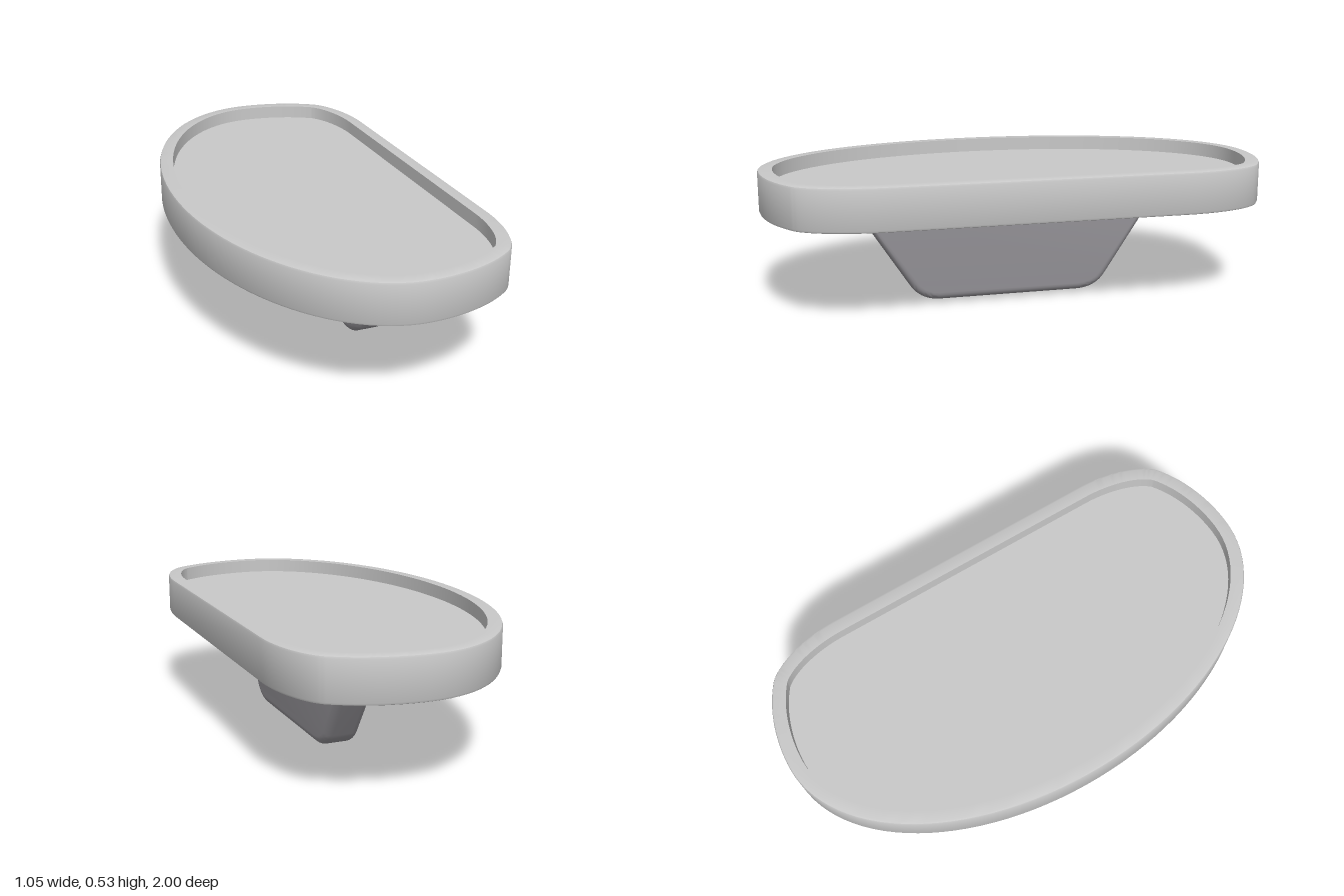
import * as THREE from 'three';
import { toCreasedNormals } from 'three/addons/utils/BufferGeometryUtils.js';

const BOTTOM = 0.365, TOP = 0.53, FLOOR = 0.475, RIM = 0.055;

// Closed D-shaped outline in x and z, clockwise seen from above
function trayOutline() {
  const path = new THREE.Path();
  path.moveTo(-0.527, 0);
  path.bezierCurveTo(-0.527, -0.552, -0.257, -1, 0.08, -1);
  path.bezierCurveTo(0.21, -1, 0.34, -0.96, 0.43, -0.89);
  path.bezierCurveTo(0.49, -0.83, 0.527, -0.7, 0.527, -0.57);
  const half = path.getPoints(28);
  const mirrored = half.slice(1).reverse().map((p) => new THREE.Vector2(p.x, -p.y));
  return half.concat(mirrored);
}

// Moves the outline inward by a distance
function inset(points, d) {
  const n = points.length;
  return points.map((p, i) => {
    const t = points[(i + 1) % n].clone().sub(points[(i + n - 1) % n]).normalize();
    return new THREE.Vector2(p.x - t.y * d, p.y + t.x * d);
  });
}

// Sweeps a closed profile of [inset, height] pairs round the outline
function sweepRing(outline, profile) {
  const n = outline.length, m = profile.length;
  const positions = [], index = [];
  profile.forEach(([d, y]) => inset(outline, d).forEach((p) => positions.push(p.x, y, p.y)));
  for (let j = 0; j < m; j++) {
    for (let i = 0; i < n; i++) {
      const i2 = (i + 1) % n, j2 = (j + 1) % m;
      const a = j * n + i, b = j * n + i2, c = j2 * n + i, d = j2 * n + i2;
      index.push(a, c, b, b, c, d);
    }
  }
  const geometry = new THREE.BufferGeometry();
  geometry.setAttribute('position', new THREE.Float32BufferAttribute(positions, 3));
  geometry.setIndex(index);
  return toCreasedNormals(geometry, 0.6);
}

export function createModel() {
  const model = new THREE.Group();
  const trayGrey = new THREE.MeshStandardMaterial({ name: 'light grey', color: 0xc8c8c8 });
  const supportGrey = new THREE.MeshStandardMaterial({ name: 'dark grey', color: 0x929095 });

  const add = (name, geometry, material) => {
    const mesh = new THREE.Mesh(geometry, material);
    mesh.name = name;
    model.add(mesh);
  };

  // Raised rim with softened outer edges
  const outline = trayOutline();
  const e = 0.01;
  add('trayRim', sweepRing(outline, [
    [e, BOTTOM], [e * 0.3, BOTTOM + e * 0.3], [0, BOTTOM + e],
    [0, TOP - e], [e * 0.3, TOP - e * 0.3], [e, TOP],
    [RIM, TOP], [RIM, BOTTOM],
  ]), trayGrey);

  // Recessed floor and underside panel
  const panel = new THREE.Shape(inset(outline, RIM));
  add('trayFloor', new THREE.ShapeGeometry(panel).rotateX(-Math.PI / 2).translate(0, FLOOR, 0), trayGrey);
  add('trayUnderside', new THREE.ShapeGeometry(panel).rotateX(Math.PI / 2).translate(0, BOTTOM, 0), supportGrey);

  // Tapered support fin, drawn in z and y, with its top sunk into the tray
  const fin = new THREE.Shape();
  fin.moveTo(0.675, 0.42);
  fin.lineTo(-0.595, 0.42);
  fin.lineTo(-0.36, 0.06);
  fin.quadraticCurveTo(-0.32, 0, -0.24, 0);
  fin.lineTo(0.32, 0);
  fin.quadraticCurveTo(0.4, 0, 0.44, 0.06);
  fin.closePath();
  const round = 0.03;
  const finGeometry = new THREE.ExtrudeGeometry(fin, {
    depth: 0.143 - 2 * round, bevelEnabled: true, bevelThickness: round,
    bevelSize: round, bevelOffset: -round, bevelSegments: 6, curveSegments: 12,
  });
  finGeometry.rotateY(-Math.PI / 2).translate(0.2 - round, 0, 0);
  add('supportFin', toCreasedNormals(finGeometry, 0.6), supportGrey);

  return model;
}
